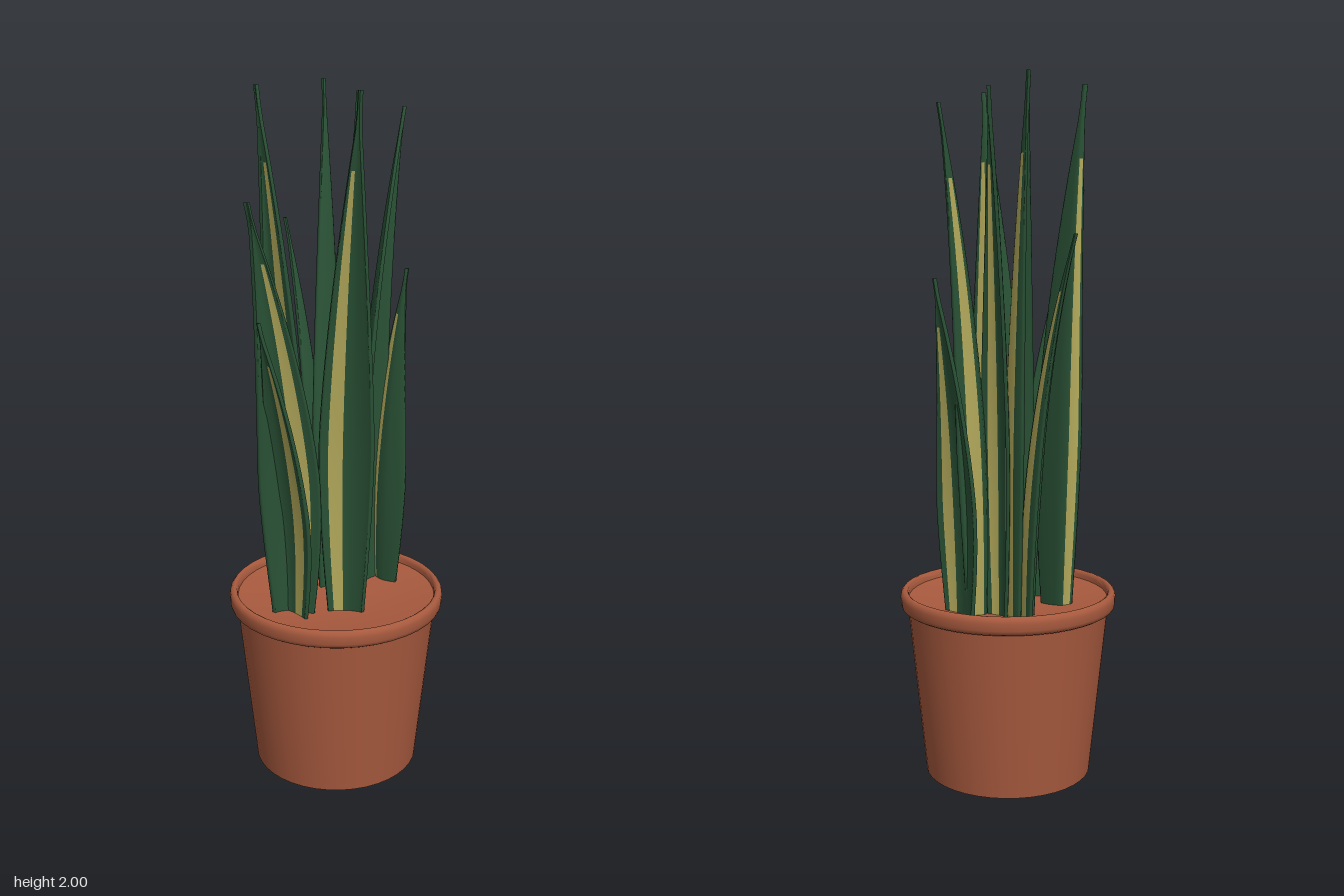
import * as THREE from 'three';
import { toCreasedNormals } from 'three/addons/utils/BufferGeometryUtils.js';

const LEAF_BASE_Y = 0.475;

// Leaves in plan (x, z): one edge, the midrib, the other edge at the widest part; then the tip (x, y, z)
const LEAVES = [
  { a: [-0.10, -0.075], m: [-0.075, -0.16], b: [-0.12, -0.22], tip: [-0.25, 1.59, -0.328] },
  { a: [-0.08, -0.035], m: [-0.025, -0.135], b: [-0.085, -0.20], tip: [-0.122, 2.0, -0.308] },
  { a: [0.055, -0.085], m: [-0.015, -0.11], b: [-0.045, -0.19], tip: [-0.005, 1.97, -0.26] },
  { a: [0.075, -0.01], m: [0.035, -0.11], b: [0.09, -0.19], tip: [0.132, 1.93, -0.253] },
  { a: [0.172, -0.12], m: [0.10, -0.145], b: [0.04, -0.21], tip: [0.15, 1.47, -0.24] },
  { a: [-0.07, 0.072], m: [-0.16, 0.007], b: [-0.205, 0.02], tip: [-0.214, 2.0, 0.042] },
  { a: [-0.037, 0.077], m: [0.05, 0.055], b: [0.122, 0.08], tip: [0.11, 2.0, 0.194] },
  { a: [-0.012, 0.112], m: [-0.11, 0.12], b: [-0.165, 0.19], tip: [-0.172, 1.72, 0.265] },
  { a: [-0.025, 0.19], m: [-0.10, 0.13], b: [-0.172, 0.13], tip: [-0.153, 1.40, 0.252] },
];

// Columns across each face, mirrored about the midrib
const COLUMNS = [0, 0.03, 0.13, 0.37, 0.5, 0.63, 0.87, 0.97, 1];
const STRIPE_NEAR_A = 2;
const STRIPE_NEAR_B = 5;
const ROWS = 30;

// Blade width along its length: swells from the base, then tapers to a slender tail
function bladeWidth(t) {
  if (t < 0.35) return 0.65 + 0.35 * Math.sin((t / 0.35) * Math.PI / 2);
  const s = Math.min(1, (t - 0.35) / 0.6);
  return 0.06 + 0.94 * (1 - Math.pow(s, 1.35));
}

// Thin closed blade with a folded section; the stripe lies toward edge a outside and edge b inside
function leafGeometry({ a, m, b, tip }) {
  const A = new THREE.Vector2(...a), M = new THREE.Vector2(...m), B = new THREE.Vector2(...b);
  const chordMid = A.clone().add(B).multiplyScalar(0.5);
  const centre = M.clone().add(chordMid).multiplyScalar(0.5);
  const section = new THREE.QuadraticBezierCurve(A, M.clone().multiplyScalar(2).sub(chordMid), B);
  const fold = M.clone().sub(chordMid), chord = B.clone().sub(A);
  const innerSide = chord.x * fold.y - chord.y * fold.x > 0 ? 1 : -1;
  const half = 0.005;
  const count = COLUMNS.length;
  const loop = [];
  for (const side of [1, -1]) {
    const stripeColumn = side === innerSide ? STRIPE_NEAR_B : STRIPE_NEAR_A;
    for (let k = 0; k < count; k++) {
      const column = side > 0 ? k : count - 1 - k;
      const p = section.getPoint(COLUMNS[column]).sub(centre);
      const d = section.getTangent(COLUMNS[column]);
      // A quad runs from this column to the next one along the loop
      const striped = (side > 0 ? column : column - 1) === stripeColumn;
      loop.push({ p, nx: -d.y * half * side, nz: d.x * half * side, striped });
    }
  }
  const n = loop.length;
  const positions = [], green = [], stripe = [];
  for (let j = 0; j <= ROWS; j++) {
    const t = j / ROWS, w = bladeWidth(t), bend = Math.pow(t, 2.2);
    const cx = centre.x + (tip[0] - centre.x) * bend;
    const cz = centre.y + (tip[2] - centre.y) * bend;
    for (const { p, nx, nz } of loop) {
      positions.push(cx + p.x * w + nx, LEAF_BASE_Y + (tip[1] - LEAF_BASE_Y) * t, cz + p.y * w + nz);
    }
  }
  for (let j = 0; j < ROWS; j++) {
    for (let i = 0; i < n; i++) {
      const p = j * n + i, q = j * n + (i + 1) % n, r = q + n, s = p + n;
      (loop[i].striped && j < ROWS * 0.86 ? stripe : green).push(p, q, r, p, r, s);
    }
  }
  // Blunt end at the tip
  const top = ROWS * n;
  for (let i = 1; i < n - 1; i++) green.push(top, top + i, top + i + 1);

  const geometry = new THREE.BufferGeometry();
  geometry.setAttribute('position', new THREE.Float32BufferAttribute(positions, 3));
  geometry.setIndex([...green, ...stripe]);
  geometry.addGroup(0, green.length, 0);
  geometry.addGroup(green.length, stripe.length, 1);
  geometry.computeVertexNormals();
  return geometry;
}

function turned(profile, material, name) {
  const points = profile.map(([r, y]) => new THREE.Vector2(r, y));
  const mesh = new THREE.Mesh(toCreasedNormals(new THREE.LatheGeometry(points, 40), 0.9), material);
  mesh.name = name;
  return mesh;
}

export function createModel() {
  const terracotta = new THREE.MeshStandardMaterial({ color: 0xa85a3e });
  terracotta.name = 'terracotta';
  const leafGreen = new THREE.MeshStandardMaterial({ color: 0x2a5236 });
  leafGreen.name = 'leaf green';
  const stripeYellow = new THREE.MeshStandardMaterial({ color: 0xb5ab5c });
  stripeYellow.name = 'stripe yellow';

  const model = new THREE.Group();
  model.name = 'pottedPlant';

  // Pot with a recessed underside, a rounded rim and a slightly dished soil surface
  const pot = new THREE.Group();
  pot.name = 'pot';
  pot.position.z = 0.015;
  pot.add(
    turned([[0, 0.02], [0.225, 0.02], [0.23, 0], [0.245, 0], [0.297, 0.51]], terracotta, 'potBody'),
    turned([[0.29, 0.5], [0.306, 0.499], [0.314, 0.504], [0.317, 0.514], [0.318, 0.535], [0.316, 0.545],
      [0.31, 0.552], [0.303, 0.553], [0.297, 0.549], [0.294, 0.541], [0.293, 0.52]], terracotta, 'potRim'),
    turned([[0.296, 0.53], [0, 0.485]], terracotta, 'soil'),
  );
  model.add(pot);

  // Upright striped leaves
  const leaves = new THREE.Group();
  leaves.name = 'leaves';
  LEAVES.forEach((spec, i) => {
    const leaf = new THREE.Mesh(leafGeometry(spec), [leafGreen, stripeYellow]);
    leaf.name = `leaf${i + 1}`;
    leaves.add(leaf);
  });
  model.add(leaves);
  return model;
}
